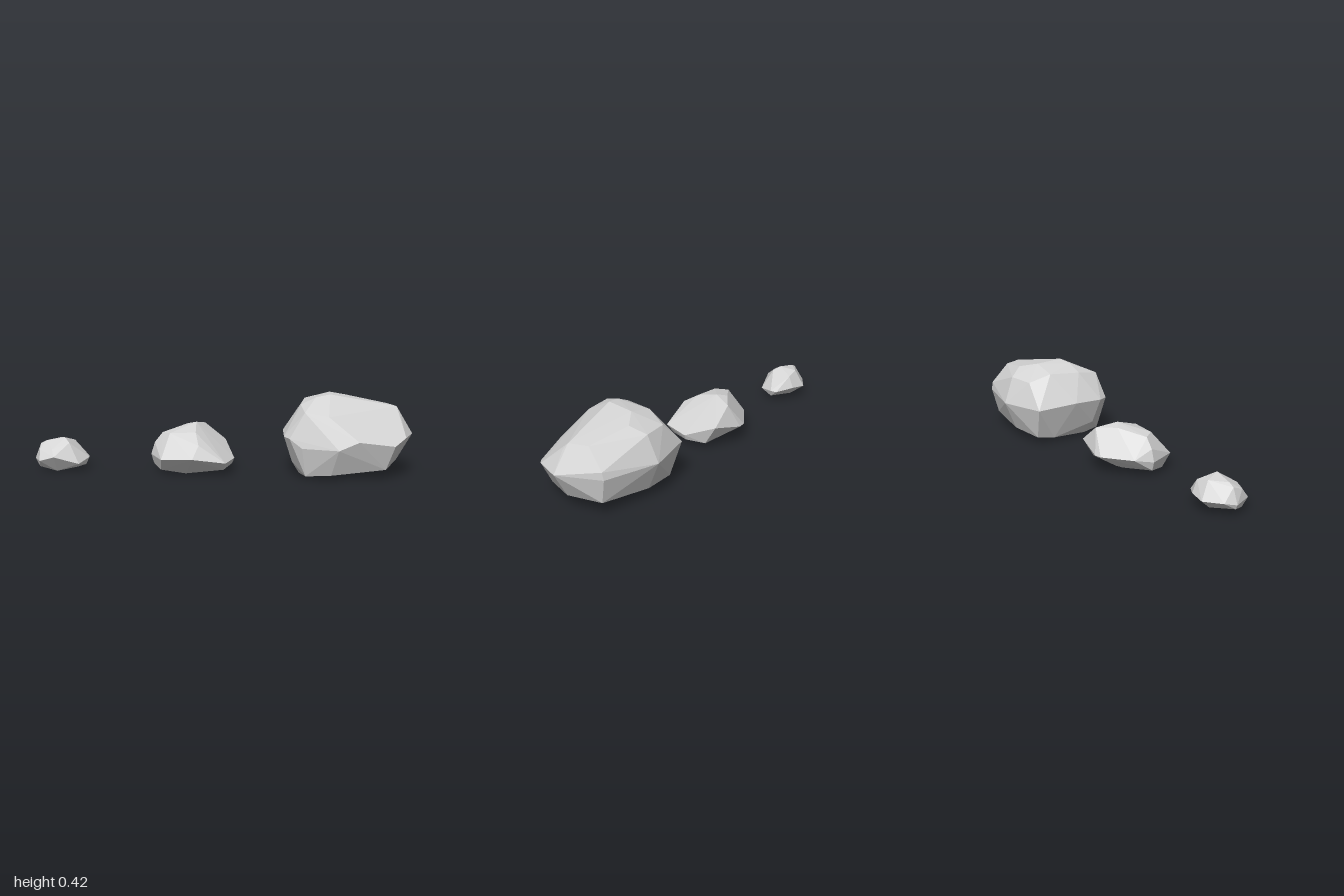
import * as THREE from 'three';
import { ConvexGeometry } from 'three/addons/geometries/ConvexGeometry.js';

const stone = new THREE.MeshStandardMaterial({ color: 0xd4d4d4 });
stone.name = 'light grey stone';

// A chipped rock: the hull around its corners, given as levels from base to crown
function rock(name, levels) {
  const corners = levels.flat().map((p) => new THREE.Vector3(...p));
  const mesh = new THREE.Mesh(new ConvexGeometry(corners), stone);
  mesh.name = name;
  return mesh;
}

export function createModel() {
  const group = new THREE.Group();
  group.name = 'rocks';

  group.add(rock('largeRock', [
    // base
    [[0.43, 0.017, 0.217], [0.56, 0.025, 0.233], [0.842, 0.048, 0.19], [0.916, 0.068, 0.012],
      [0.87, 0.071, -0.174], [0.598, 0.052, -0.222], [0.41, 0.038, -0.195], [0.39, 0.025, -0.1],
      [0.40, 0.013, 0.11], [0.362, 0.08, 0.14]],
    // waist
    [[0.32, 0.215, 0.168], [0.347, 0.212, 0.222], [0.41, 0.166, 0.245], [0.595, 0.163, 0.287],
      [0.697, 0.205, 0.277], [0.885, 0.174, 0.218], [0.947, 0.207, 0.15], [0.996, 0.207, 0.012],
      [0.887, 0.207, -0.206], [0.598, 0.207, -0.288], [0.347, 0.21, -0.222], [0.318, 0.222, 0.005]],
    // shoulder
    [[0.424, 0.345, 0.208], [0.545, 0.325, 0.222], [0.93, 0.315, 0.012], [0.913, 0.348, -0.008],
      [0.875, 0.348, -0.105], [0.89, 0.248, -0.198], [0.61, 0.346, -0.23], [0.47, 0.34, -0.206]],
    // crown
    [[0.408, 0.367, 0.08], [0.486, 0.405, 0.074], [0.56, 0.418, 0.06], [0.566, 0.411, -0.09],
      [0.655, 0.387, -0.155], [0.435, 0.378, -0.09]],
  ]));

  group.add(rock('mediumRock', [
    // base
    [[-0.32, 0.021, 0.1], [-0.19, 0.002, 0.1], [0.008, 0.027, 0.12], [0.05, 0.037, 0],
      [0.01, 0.03, -0.1], [-0.19, 0.012, -0.055], [-0.18, 0.026, -0.09], [-0.366, 0.037, 0]],
    // waist
    [[-0.315, 0.085, 0.158], [-0.15, 0.096, 0.205], [0.02, 0.068, 0.158], [0.062, 0.066, 0],
      [0.01, 0.138, -0.168], [-0.155, 0.1, -0.206], [-0.195, 0.1, -0.2], [-0.34, 0.1, -0.093], [-0.38, 0.085, 0]],
    // front notch and left shoulder
    [[-0.12, 0.16, 0.152], [-0.36, 0.15, 0]],
    // crown
    [[-0.275, 0.208, 0.06], [-0.318, 0.203, 0], [-0.19, 0.236, -0.09], [-0.142, 0.25, -0.056],
      [-0.139, 0.214, 0.067], [-0.1, 0.228, -0.163]],
  ]));

  group.add(rock('smallRock', [
    // base
    [[-0.965, 0.027, 0.06], [-0.873, 0.004, 0.07], [-0.766, 0.025, 0.06], [-0.729, 0.027, 0],
      [-0.86, 0.015, -0.05], [-0.99, 0.037, 0]],
    // waist
    [[-0.958, 0.064, 0.105], [-0.88, 0.088, 0.128], [-0.755, 0.045, 0.085], [-0.713, 0.064, -0.01],
      [-0.718, 0.064, -0.045], [-0.80, 0.08, -0.104], [-0.887, 0.07, -0.12], [-0.972, 0.07, -0.056], [-1.0, 0.06, 0]],
    // crown
    [[-0.964, 0.117, 0.06], [-0.894, 0.123, 0.09], [-0.969, 0.139, 0], [-0.94, 0.155, 0],
      [-0.836, 0.174, 0.015], [-0.81, 0.15, 0.045], [-0.80, 0.145, -0.077], [-0.87, 0.16, -0.07]],
  ]));

  return group;
}
